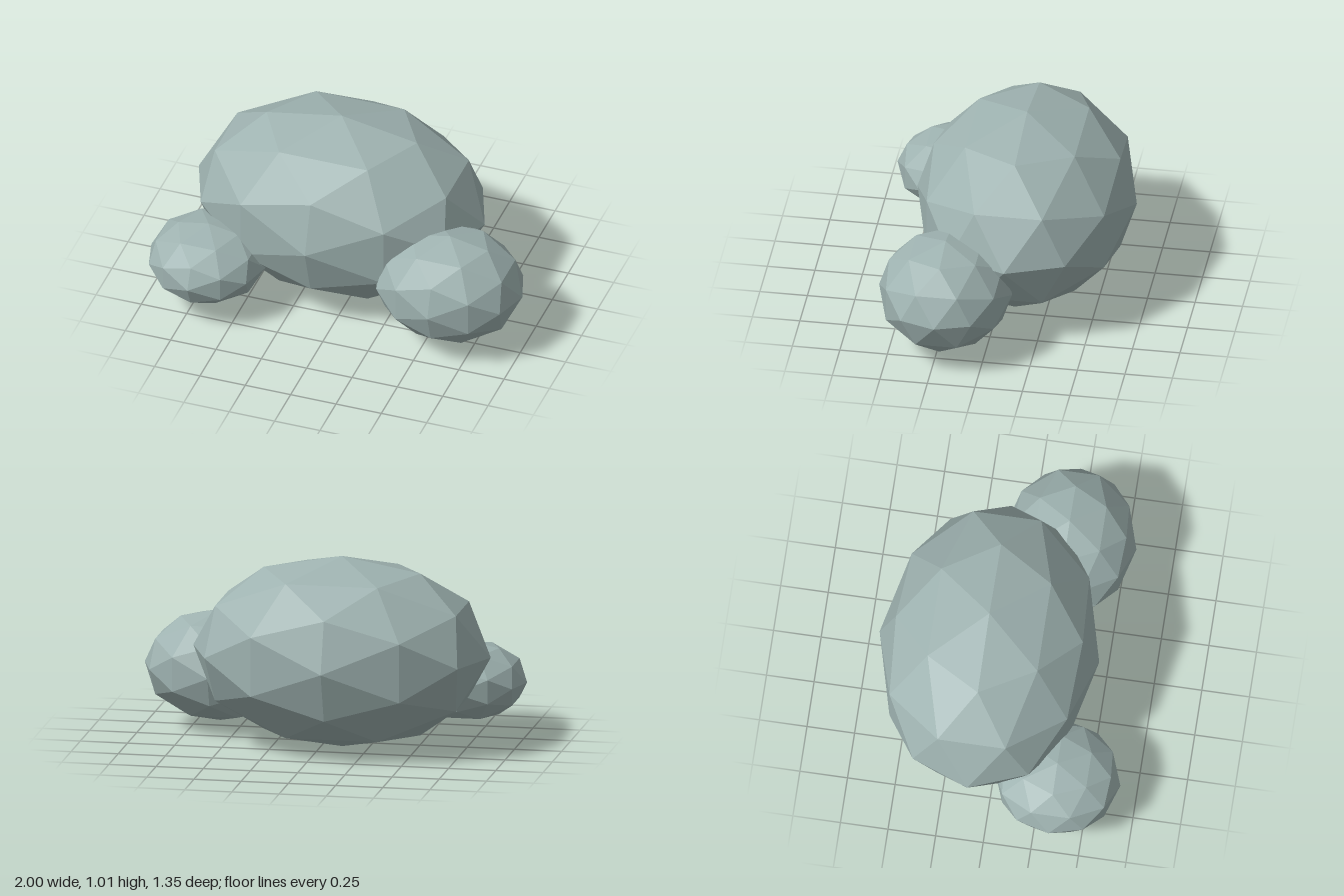
import * as THREE from 'three';

const stone = new THREE.MeshStandardMaterial({ color: 0x9eb2b0, flatShading: true });
stone.name = 'grey stone';

// A faceted boulder: a once-divided icosahedron stretched along each axis
function boulder(name, radii, position) {
  const geometry = new THREE.IcosahedronGeometry(1, 1);
  geometry.scale(...radii);
  geometry.computeVertexNormals();
  const mesh = new THREE.Mesh(geometry, stone);
  mesh.name = name;
  mesh.position.set(...position);
  return mesh;
}

export function createModel() {
  const group = new THREE.Group();
  group.name = 'rockCluster';
  group.add(
    boulder('largeRock', [0.788, 0.507, 0.577], [-0.107, 0.511, -0.1]),
    boulder('mediumRock', [0.4, 0.296, 0.35], [0.6, 0.336, 0.217]),
    boulder('smallRock', [0.315, 0.207, 0.331], [-0.685, 0.283, 0.343]),
  );
  // Rest the lowest point on the ground
  const box = new THREE.Box3().setFromObject(group);
  for (const rock of group.children) rock.position.y -= box.min.y;
  return group;
}
